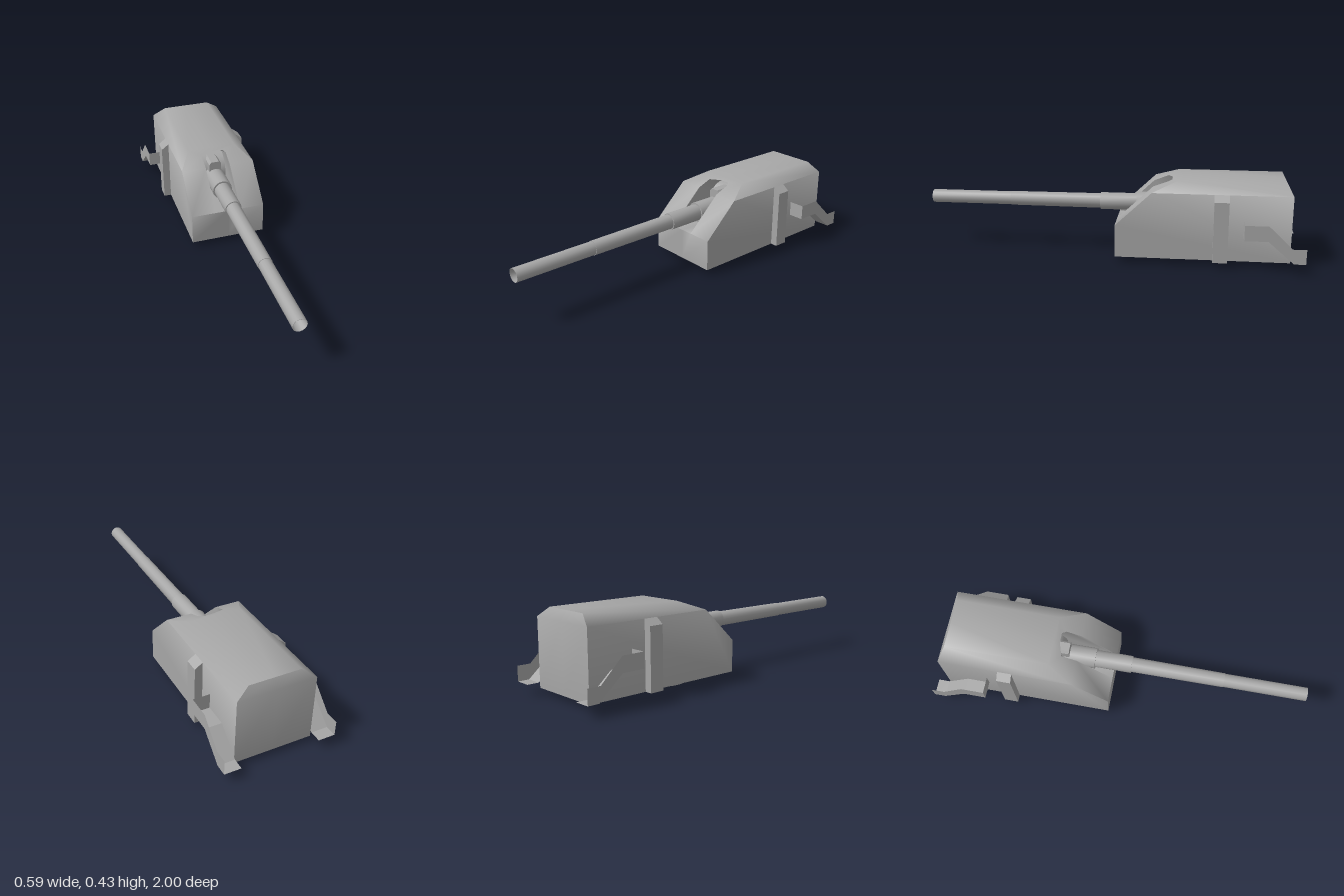
import * as THREE from 'three';
import { toCreasedNormals } from 'three/addons/utils/BufferGeometryUtils.js';

const paint = new THREE.MeshStandardMaterial({ color: 0xa6a6a6, side: THREE.DoubleSide });
paint.name = 'grey paint';

function part(name, geometry, crease) {
  const mesh = new THREE.Mesh(crease ? toCreasedNormals(geometry, crease) : geometry, paint);
  mesh.name = name;
  return mesh;
}

// Builds mirrored convex faces; each entry is [outward direction, corner points of the +x half].
function facesGeometry(faces) {
  const positions = [];
  for (const [dir, corners] of faces) {
    for (const side of [1, -1]) {
      const flip = ([x, y, z]) => new THREE.Vector3(x * side, y, z);
      const pts = corners.map(flip);
      const normal = new THREE.Vector3();
      for (let i = 1; i < pts.length - 1; i++) {
        normal.add(pts[i].clone().sub(pts[0]).cross(pts[i + 1].clone().sub(pts[0])));
      }
      if (normal.dot(flip(dir)) < 0) pts.reverse();
      for (let i = 1; i < pts.length - 1; i++) {
        for (const p of [pts[0], pts[i], pts[i + 1]]) positions.push(p.x, p.y, p.z);
      }
    }
  }
  const geometry = new THREE.BufferGeometry();
  geometry.setAttribute('position', new THREE.Float32BufferAttribute(positions, 3));
  return geometry;
}

// Extrudes an xy outline along z from z0 to z1.
function prism(outline, z0, z1) {
  const shape = new THREE.Shape(outline.map(([x, y]) => new THREE.Vector2(x, y)));
  return new THREE.ExtrudeGeometry(shape, { depth: z1 - z0, bevelEnabled: false }).translate(0, 0, z0);
}

function createHull() {
  const W = 0.205, T = 0.135, S = 0.07, C = 0.055;
  const up = [0, 1, 0], down = [0, -1, 0], front = [0, 0, 1], back = [0, 0, -1];
  return part('hull', facesGeometry([
    // Lower front and sloped front beside the gun slot
    [front, [[0, 0.03, -0.03], [W, 0.03, -0.03], [W, 0.2, -0.03], [S, 0.2, -0.03], [0, 0.2, -0.03]]],
    [up, [[S, 0.2, -0.03], [W, 0.2, -0.03], [W, 0.38, -0.22], [S, 0.38, -0.22]]],
    [up, [[S, 0.38, -0.22], [W, 0.38, -0.22], [T, 0.43, -0.35], [S, 0.41, -0.298]]],
    [up, [[T, 0.43, -0.35], [0, 0.43, -0.35], [0, 0.418, -0.32], [C, 0.418, -0.32], [S, 0.41, -0.298]]],
    // Roof, roof chamfers and sides
    [up, [[0, 0.43, -0.35], [T, 0.43, -0.35], [T, 0.43, -0.905], [0, 0.43, -0.905]]],
    [up, [[W, 0.38, -0.22], [T, 0.43, -0.35], [T, 0.43, -0.905], [W, 0.38, -0.932]]],
    [[1, 0, 0], [[W, 0.03, -0.03], [W, 0.2, -0.03], [W, 0.38, -0.22], [W, 0.38, -0.932], [W, 0.03, -0.932]]],
    // Back and underside
    [up, [[0, 0.43, -0.905], [T, 0.43, -0.905], [W, 0.38, -0.932], [0, 0.38, -0.932]]],
    [back, [[0, 0.03, -0.932], [W, 0.03, -0.932], [W, 0.38, -0.932], [0, 0.38, -0.932]]],
    [down, [[0, 0.03, -0.03], [W, 0.03, -0.03], [W, 0.03, -0.932], [0, 0.03, -0.932]]],
    // Inside of the gun slot
    [[-1, 0, 0], [[S, 0.2, -0.03], [S, 0.38, -0.22], [S, 0.41, -0.298], [S, 0.37, -0.42], [S, 0.2, -0.42]]],
    [up, [[0, 0.2, -0.03], [S, 0.2, -0.03], [S, 0.2, -0.42], [0, 0.2, -0.42]]],
    [down, [[0, 0.418, -0.32], [C, 0.418, -0.32], [C, 0.37, -0.42], [0, 0.37, -0.42]]],
    [down, [[C, 0.418, -0.32], [S, 0.41, -0.298], [S, 0.37, -0.42], [C, 0.37, -0.42]]],
  ]), 1.0);
}

// Open trough: front plate, stepped floor and outer wall
function createBracket() {
  const inner = 0.205, outer = 0.293;
  const floor = [[0.25, -0.69], [0.17, -0.69], [0.17, -0.81], [0.057, -0.94], [0.057, -1]];
  const top = [[0.25, -0.69], [0.25, -0.81], [0.135, -0.93], [0.135, -1]];
  const faces = [];
  for (let i = 0; i < floor.length - 1; i++) {
    const [a, b] = [floor[i], floor[i + 1]];
    faces.push([i ? [0, -1, 0] : [0, 0, 1], [[inner, ...a], [outer, ...a], [outer, ...b], [inner, ...b]]]);
  }
  for (let i = 0; i < 3; i++) {
    faces.push([[1, 0, 0], [top[i], top[i + 1], floor[i + 2], floor[i + 1]].map((p) => [outer, ...p])]);
  }
  return part('sideBrackets', facesGeometry(faces), 0.3);
}

function createBarrel() {
  // Radius and z along the gun, ending in the tapered bore
  const profile = [
    [0, -0.3], [0.055, -0.3], [0.055, -0.13], [0.046, -0.13], [0.046, 0.065], [0.04, 0.065],
    [0.038, 0.56], [0.036, 0.56], [0.036, 1], [0.035, 1], [0, 0.6],
  ].map(([r, z]) => new THREE.Vector2(r, z));
  const geometry = new THREE.LatheGeometry(profile, 16).rotateX(Math.PI / 2).translate(0, 0.275, 0);
  return part('barrel', geometry, 0.7);
}

export function createModel() {
  const model = new THREE.Group();
  model.name = 'gunTurret';
  model.add(createHull(), createBracket(), createBarrel());

  // Raised ribs on both sides
  for (const s of [1, -1]) {
    const outline = [[0.205, 0.03], [0.245, 0.03], [0.245, 0.35], [0.205, 0.38]].map(([x, y]) => [x * s, y]);
    model.add(part(s > 0 ? 'leftRib' : 'rightRib', prism(outline, -0.613, -0.538)));
  }

  // Rounded shield behind the gun
  const shield = new THREE.CylinderGeometry(0.1, 0.1, 0.139, 32).rotateZ(Math.PI / 2).translate(0, 0.28, -0.4);
  model.add(part('gunShield', shield));

  // Chamfered block above the breech
  const block = [[-0.035, 0.23], [0.035, 0.23], [0.035, 0.36], [0.022, 0.375], [-0.022, 0.375], [-0.035, 0.36]];
  model.add(part('breechBlock', prism(block, -0.4, -0.27)));

  // Open ring under the hull
  const ring = new THREE.CylinderGeometry(0.129, 0.129, 0.03, 32, 1, true).translate(0, 0.015, -0.348);
  model.add(part('baseRing', ring));
  return model;
}
